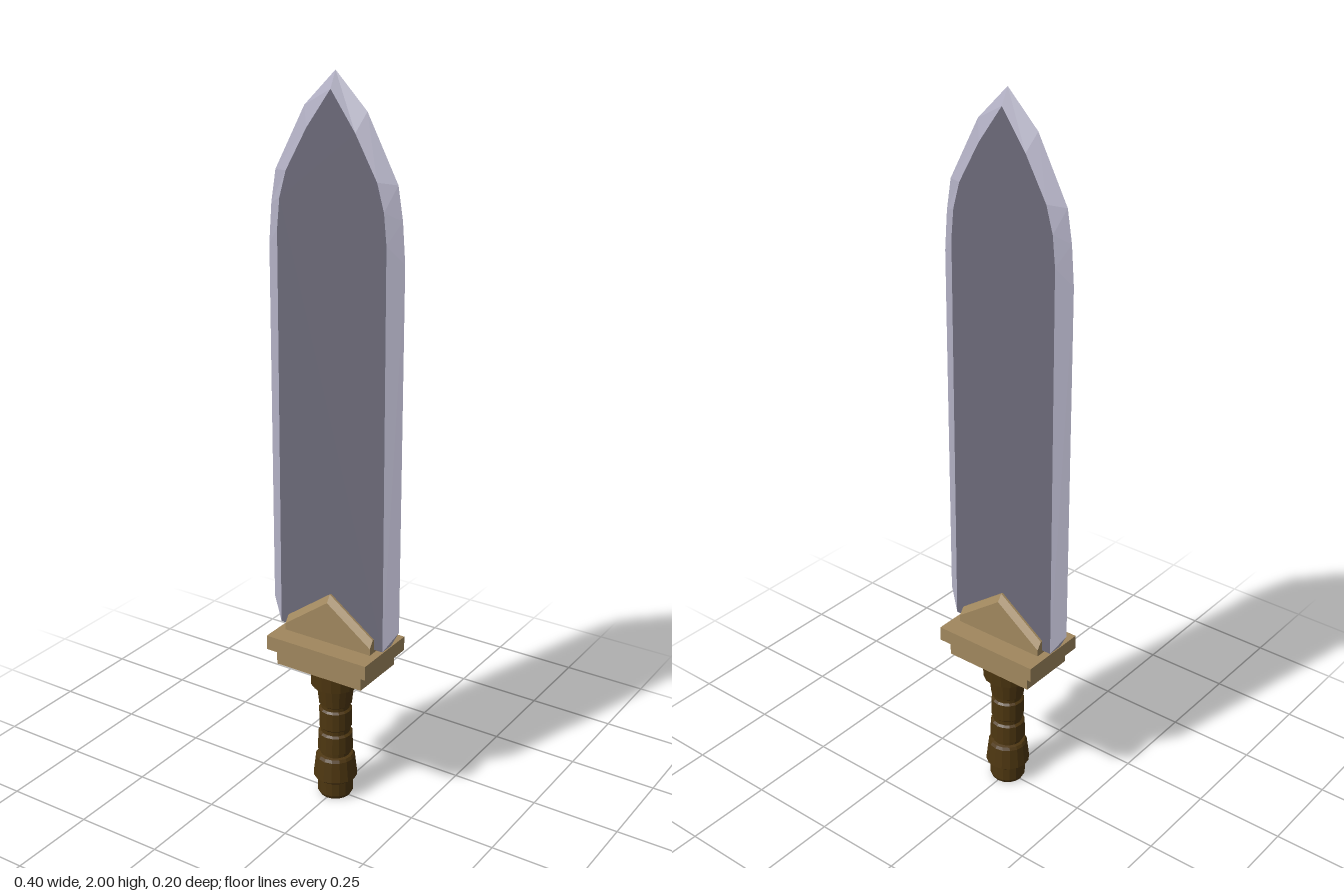
import * as THREE from 'three';

const steelEdge = new THREE.MeshStandardMaterial({ name: 'bright steel', color: 0xb4b2c6 });
const steelFace = new THREE.MeshStandardMaterial({ name: 'dark steel', color: 0x6c6a79 });
const bronze = new THREE.MeshStandardMaterial({ name: 'bronze', color: 0xa0875e });
const leather = new THREE.MeshStandardMaterial({ name: 'brown leather', color: 0x4d3610 });

// Half profiles [x, y] of the sharp edge and of the flat face, from base to tip
const OUTER = [[0.2, 0.56], [0.2, 1.555], [0.192, 1.66], [0.178, 1.745], [0.09, 1.91], [0, 2]];
const INNER = [[0.163, 0.5], [0.16, 1.6], [0.152, 1.68], [0.132, 1.75], [0.07, 1.86], [0, 1.958]];
const HALF = 0.022; // half thickness of the blade

function mesh(name, geometry, material) {
  const m = new THREE.Mesh(geometry, material);
  m.name = name;
  return m;
}

// Flat-shaded geometry from polygons (triangles or convex quads) of [x, y, z] corners
function facets(polygons) {
  const pos = [];
  for (const p of polygons) {
    for (let i = 1; i < p.length - 1; i++) pos.push(...p[0], ...p[i], ...p[i + 1]);
  }
  const g = new THREE.BufferGeometry();
  g.setAttribute('position', new THREE.Float32BufferAttribute(pos, 3));
  g.computeVertexNormals();
  return g;
}

function mirrored(half) {
  const left = half.slice(0, -1).reverse().map(([x, y]) => [-x, y]);
  return new THREE.Shape([...half, ...left].map(([x, y]) => new THREE.Vector2(x, y)));
}

function createBlade() {
  const blade = new THREE.Group();
  blade.name = 'blade';

  // Flat dark faces, front and back
  for (const side of [1, -1]) {
    const face = mesh(side > 0 ? 'frontFace' : 'backFace', new THREE.ShapeGeometry(mirrored(INNER)), steelFace);
    face.position.z = side * HALF;
    if (side < 0) face.rotation.y = Math.PI;
    blade.add(face);
  }

  // Ground bevels running from the faces to the sharp edge
  const polys = [];
  for (const sx of [1, -1]) {
    for (const sz of [1, -1]) {
      const inn = ([x, y]) => [x * sx, y, HALF * sz];
      const out = ([x, y]) => [x * sx, y, 0];
      for (let i = 0; i < OUTER.length - 1; i++) {
        const quad = [inn(INNER[i]), out(OUTER[i]), out(OUTER[i + 1]), inn(INNER[i + 1])];
        polys.push(sx * sz > 0 ? quad : quad.reverse());
      }
    }
    // Notched lower corner
    const [x, y] = INNER[0];
    polys.push([[x * sx, y, HALF * sx], [x * sx, y, -HALF * sx], [OUTER[0][0] * sx, OUTER[0][1], 0]]);
  }
  // Base of the blade
  const [w, b] = INNER[0];
  polys.push([[-w, b, HALF], [-w, b, -HALF], [w, b, -HALF], [w, b, HALF]]);
  blade.add(mesh('cuttingEdge', facets(polys), steelEdge));
  return blade;
}

function createGuard() {
  const guard = new THREE.Group();
  guard.name = 'guard';
  const slab = (name, width, depth, y0, y1) => {
    const m = mesh(name, new THREE.BoxGeometry(width, y1 - y0, depth), bronze);
    m.position.y = (y0 + y1) / 2;
    guard.add(m);
  };
  slab('lowerGuard', 0.27, 0.17, 0.405, 0.45);
  slab('upperGuard', 0.316, 0.2, 0.45, 0.491);

  // Gabled collar: the roof is chamfered towards the front and back
  const section = (z, drop) => [
    [-0.136, 0.491, z], [0.136, 0.491, z], [0.136, 0.53 - drop, z], [0, 0.629 - drop, z], [-0.136, 0.53 - drop, z],
  ];
  const rings = [section(0.042, 0.02), section(0.028, 0), section(-0.028, 0), section(-0.042, 0.02)];
  const polys = [rings[0], [...rings[3]].reverse()];
  for (let r = 0; r < 3; r++) {
    for (let i = 0; i < 5; i++) {
      const j = (i + 1) % 5;
      polys.push([rings[r][j], rings[r][i], rings[r + 1][i], rings[r + 1][j]]);
    }
  }
  guard.add(mesh('gabledCollar', facets(polys), bronze));
  return guard;
}

function createHandle() {
  // Radius and height, from the pommel up to the collar under the guard
  const profile = [
    [0, 0], [0.045, 0], [0.05, 0.01], [0.05, 0.05], [0.062, 0.06], [0.055, 0.12], [0.05, 0.128],
    [0.042, 0.13], [0.042, 0.14], [0.05, 0.145], [0.048, 0.195], [0.041, 0.2], [0.041, 0.212],
    [0.046, 0.217], [0.046, 0.27], [0.04, 0.275], [0.04, 0.285], [0.046, 0.29], [0.052, 0.345],
    [0.068, 0.35], [0.07, 0.405], [0, 0.405],
  ].map(([r, y]) => new THREE.Vector2(r, y));
  const g = new THREE.LatheGeometry(profile, 16).toNonIndexed();
  g.computeVertexNormals();
  return mesh('handle', g, leather);
}

export function createModel() {
  const sword = new THREE.Group();
  sword.name = 'sword';
  sword.add(createBlade(), createGuard(), createHandle());
  return sword;
}
